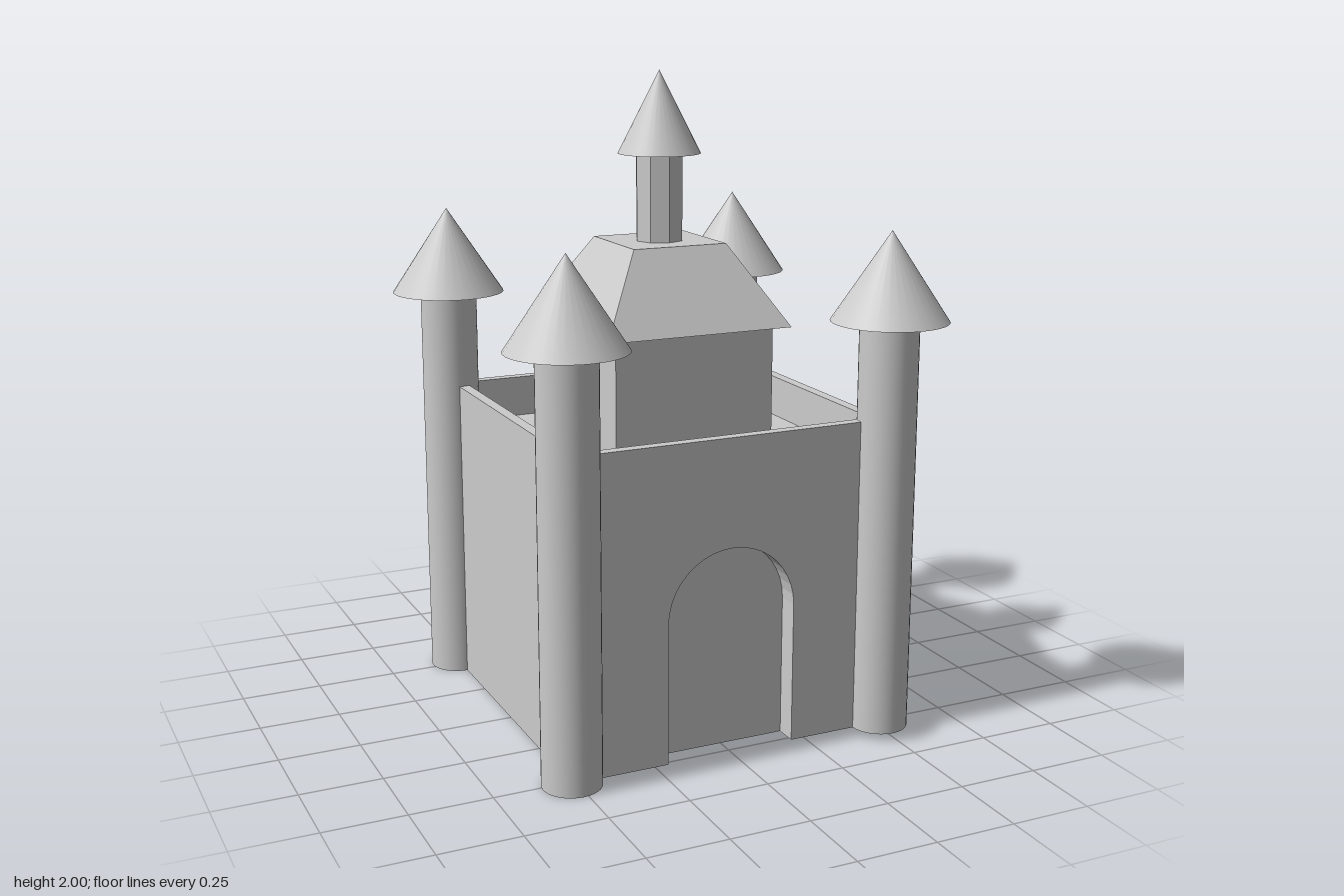
import * as THREE from 'three';

const HALF = 0.515;     // half width of the walls, also the tower centres
const FLOOR = 0.85;     // height of the courtyard roof
const WALL_TOP = 0.98;
const RECESS = 0.07;    // depth of the doorways

export function createModel() {
  const group = new THREE.Group();
  group.name = 'castle';
  const smooth = new THREE.MeshStandardMaterial({ color: 0xcccccc });
  const flat = new THREE.MeshStandardMaterial({ color: 0xcccccc, flatShading: true });

  const add = (name, geometry, material, x = 0, y = 0, z = 0) => {
    const mesh = new THREE.Mesh(geometry, material);
    mesh.name = name;
    mesh.position.set(x, y, z);
    group.add(mesh);
    return mesh;
  };
  // Box standing on height y
  const block = (name, w, h, d, y) =>
    add(name, new THREE.BoxGeometry(w, h, d), flat, 0, y + h / 2, 0);
  // Round part standing on height y
  const round = (name, rTop, rBottom, h, sides, x, y, z, material = smooth) =>
    add(name, new THREE.CylinderGeometry(rTop, rBottom, h, sides), material, x, y + h / 2, z);

  // Main block
  block('mainBlock', 2 * HALF, FLOOR, 2 * (HALF - RECESS), 0);

  // Front and back walls, each with an arched doorway notch
  const r = 0.207, spring = 0.438;
  const wall = new THREE.Shape();
  wall.moveTo(-HALF, 0);
  wall.lineTo(-r, 0);
  wall.lineTo(-r, spring);
  wall.absarc(0, spring, r, Math.PI, 0, true);
  wall.lineTo(r, 0);
  wall.lineTo(HALF, 0);
  wall.lineTo(HALF, FLOOR);
  wall.lineTo(-HALF, FLOOR);
  wall.closePath();
  const wallGeometry = new THREE.ExtrudeGeometry(wall, {
    depth: RECESS, bevelEnabled: false, curveSegments: 10,
  });
  add('frontWall', wallGeometry, flat, 0, 0, HALF - RECESS);
  add('backWall', wallGeometry, flat, 0, 0, -(HALF - RECESS)).rotation.y = Math.PI;

  // Parapet ring around the roof
  const square = (Type, s) => new Type([[-s, -s], [s, -s], [s, s], [-s, s]]
    .map(([x, y]) => new THREE.Vector2(x, y)));
  const ring = square(THREE.Shape, HALF);
  ring.holes.push(square(THREE.Path, HALF - 0.035));
  const parapet = new THREE.ExtrudeGeometry(ring, {
    depth: WALL_TOP - FLOOR, bevelEnabled: false,
  });
  parapet.rotateX(-Math.PI / 2);
  add('parapet', parapet, flat, 0, FLOOR, 0);

  // Corner towers with cone roofs
  for (const x of [-HALF, HALF]) {
    for (const z of [-HALF, HALF]) {
      round('cornerTower', 0.09, 0.09, 1.28, 32, x, 0, z);
      add('towerRoof', new THREE.ConeGeometry(0.178, 0.27, 32), smooth, x, 1.28 + 0.135, z);
    }
  }

  // Keep with a truncated pyramid roof
  block('keep', 0.52, 1.24 - FLOOR, 0.52, FLOOR);
  const keepRoof = new THREE.CylinderGeometry(
    0.153 * Math.SQRT2, 0.302 * Math.SQRT2, 0.245, 4);
  keepRoof.rotateY(Math.PI / 4);
  add('keepRoof', keepRoof, flat, 0, 1.24 + 0.1225, 0);

  // Octagonal lantern and spire
  round('lantern', 0.075, 0.075, 0.265, 8, 0, 1.485, 0, flat);
  add('spire', new THREE.ConeGeometry(0.127, 0.25, 32), smooth, 0, 1.875, 0);

  return group;
}
